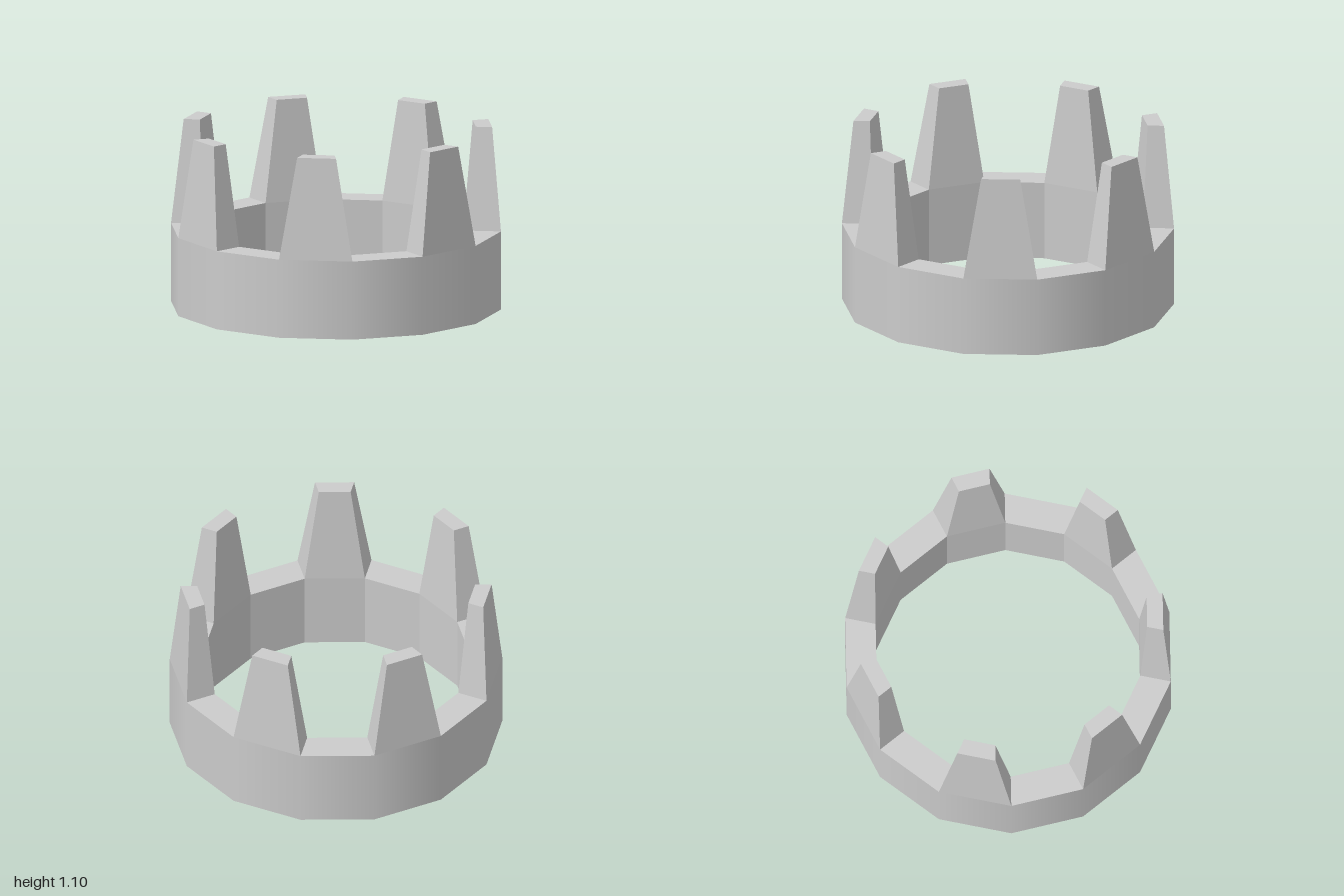
import * as THREE from 'three';

const SIDES = 14;
const OUTER = 1, INNER = 0.813;
const BAND_TOP = 0.48, SPIKE_TOP = 1.1, TAPER = 0.53;
const STEP = (Math.PI * 2) / SIDES;

const material = new THREE.MeshStandardMaterial({ color: 0xcccccc });

function addMesh(parent, name, geometry) {
  const mesh = new THREE.Mesh(geometry, material);
  mesh.name = name;
  parent.add(mesh);
  return mesh;
}

// Open wall of the band with a corner on the +x axis
function wall(radius) {
  return new THREE.CylinderGeometry(radius, radius, BAND_TOP, SIDES, 1, true, Math.PI / 2)
    .translate(0, BAND_TOP / 2, 0);
}

// Inner wall faces the axis and has flat facets
function innerWall() {
  const geometry = wall(INNER);
  geometry.index.array.reverse();
  const flat = geometry.toNonIndexed();
  flat.computeVertexNormals();
  return flat;
}

// Block over one side of the band, tapering evenly towards its top
function spikeGeometry() {
  const geometry = new THREE.BoxGeometry(2, 2, 2);
  const p = geometry.attributes.position;
  const apothem = Math.cos(STEP / 2), halfChord = Math.sin(STEP / 2);
  const middle = apothem * (OUTER + INNER) / 2;
  for (let i = 0; i < p.count; i++) {
    const top = p.getY(i) > 0;
    const radius = p.getZ(i) > 0 ? OUTER : INNER;
    const scale = top ? TAPER : 1;
    p.setXYZ(
      i,
      p.getX(i) * halfChord * radius * scale,
      top ? SPIKE_TOP : BAND_TOP,
      middle + (radius * apothem - middle) * scale
    );
  }
  geometry.computeVertexNormals();
  return geometry;
}

export function createModel() {
  const model = new THREE.Group();
  model.name = 'crown';

  // Band: smooth outside, faceted inside, flat rims
  const band = new THREE.Group();
  band.name = 'band';
  model.add(band);
  addMesh(band, 'outerWall', wall(OUTER));
  addMesh(band, 'innerWall', innerWall());
  const rim = () => new THREE.RingGeometry(INNER, OUTER, SIDES, 1);
  addMesh(band, 'topRim', rim().rotateX(-Math.PI / 2).translate(0, BAND_TOP, 0));
  addMesh(band, 'bottomRim', rim().rotateX(Math.PI / 2));

  // Spikes on every second side, one centred at the back
  const spike = spikeGeometry();
  for (let i = 0; i < SIDES / 2; i++) {
    addMesh(model, `spike${i + 1}`, spike).rotation.y = Math.PI + i * 2 * STEP;
  }
  return model;
}
